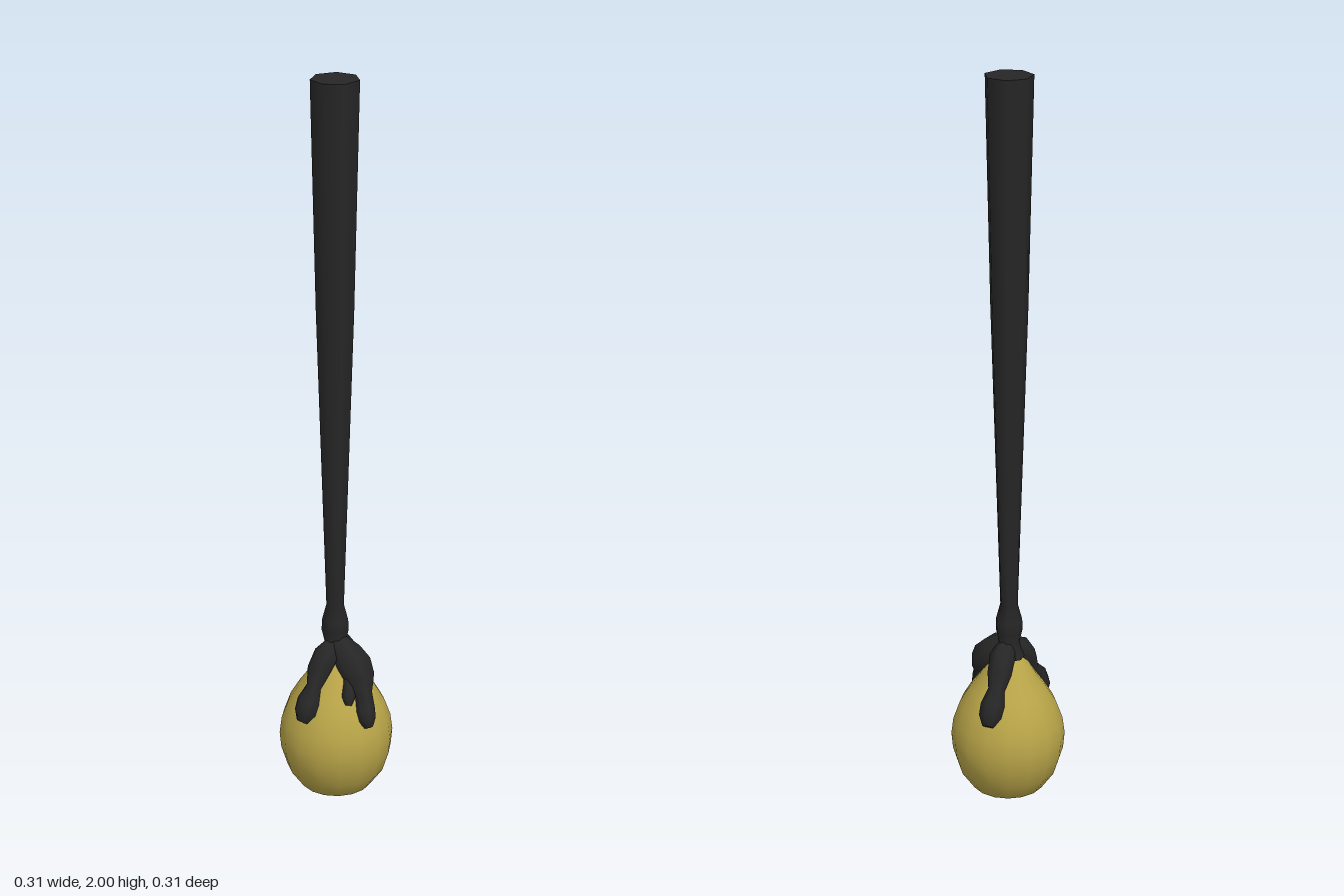
import * as THREE from 'three';

const black = new THREE.MeshStandardMaterial({ color: 0x262626 });
const gold = new THREE.MeshStandardMaterial({ color: 0xb8a448 });

function part(name, geometry, material) {
  const mesh = new THREE.Mesh(geometry, material);
  mesh.name = name;
  return mesh;
}

function lathe(profile, sides) {
  const points = profile.map(([r, y]) => new THREE.Vector2(r, y));
  return new THREE.LatheGeometry(points, sides, Math.PI);
}

// Sweeps a ring along joints [x, y, z, radius]; both ends close to a point.
function limb(joints, sides = 7) {
  const centres = joints.map(([x, y, z]) => new THREE.Vector3(x, y, z));
  const last = joints.length - 1;
  const reach = centres[last].clone().sub(centres[0]).setY(0);
  const side = new THREE.Vector3(reach.z, 0, -reach.x).normalize();
  const positions = [], index = [];
  centres.forEach((c, i) => {
    const t = centres[Math.min(i + 1, last)].clone().sub(centres[Math.max(i - 1, 0)]).normalize();
    const up = t.clone().cross(side).normalize();
    for (let j = 0; j < sides; j++) {
      const a = (j / sides) * Math.PI * 2, r = joints[i][3];
      const p = c.clone().addScaledVector(side, Math.cos(a) * r).addScaledVector(up, Math.sin(a) * r);
      positions.push(p.x, p.y, p.z);
    }
  });
  const start = positions.length / 3, end = start + 1;
  positions.push(...centres[0].toArray(), ...centres[last].toArray());
  for (let j = 0; j < sides; j++) {
    const k = (j + 1) % sides;
    for (let i = 0; i < last; i++) {
      const a = i * sides + j, b = i * sides + k;
      index.push(a, b, a + sides, b, b + sides, a + sides);
    }
    index.push(start, k, j, end, last * sides + j, last * sides + k);
  }
  const g = new THREE.BufferGeometry();
  g.setAttribute('position', new THREE.Float32BufferAttribute(positions, 3));
  g.setIndex(index);
  g.computeVertexNormals();
  return g;
}

export function createModel() {
  const model = new THREE.Group();
  model.name = 'clawAndEggCane';

  // Egg with a slightly drawn-out top
  model.add(part('egg', lathe([
    [0, 0], [0.05, 0.009], [0.098, 0.035], [0.133, 0.085], [0.15, 0.14], [0.154, 0.185],
    [0.148, 0.23], [0.13, 0.28], [0.103, 0.325], [0.078, 0.36], [0.058, 0.395], [0.033, 0.425], [0, 0.435],
  ], 16), gold));

  // Seven-sided tapering shaft with an ankle knob at its lower end
  const shaft = new THREE.Group();
  shaft.name = 'shaft';
  shaft.position.z = -0.003;
  shaft.add(part('shaftBody', lathe([
    [0.045, 0.42], [0.029, 0.46], [0.037, 0.495], [0.036, 0.525], [0.024, 0.57], [0.05, 1.4], [0.063, 2],
  ], 7), black));
  const cap = part('shaftCap', new THREE.CircleGeometry(0.063, 7, Math.PI / 2), black);
  cap.rotation.x = -Math.PI / 2;
  cap.position.y = 2;
  shaft.add(cap);
  model.add(shaft);

  // Toes gripping the egg
  const toes = {
    rightToe: [
      [0, 0.46, 0, 0.02], [-0.034, 0.43, -0.002, 0.036], [-0.063, 0.392, -0.004, 0.034],
      [-0.085, 0.352, -0.003, 0.022], [-0.108, 0.318, -0.001, 0.033],
      [-0.122, 0.29, 0, 0.032], [-0.137, 0.267, 0, 0.016],
    ],
    leftToe: [
      [0, 0.46, 0, 0.02], [0.036, 0.43, -0.016, 0.036], [0.06, 0.392, -0.028, 0.033],
      [0.08, 0.356, -0.037, 0.023], [0.102, 0.322, -0.045, 0.033],
      [0.117, 0.294, -0.05, 0.031], [0.132, 0.272, -0.056, 0.016],
    ],
    frontToe: [
      [0, 0.47, 0, 0.022], [0.005, 0.435, 0.03, 0.043], [0.007, 0.402, 0.055, 0.052],
      [0.003, 0.37, 0.082, 0.044], [-0.008, 0.335, 0.105, 0.025],
      [-0.02, 0.302, 0.122, 0.027], [-0.025, 0.278, 0.132, 0.025], [-0.028, 0.257, 0.141, 0.012],
    ],
    smallToe: [
      [-0.012, 0.395, 0.06, 0.016], [-0.03, 0.36, 0.073, 0.017],
      [-0.045, 0.335, 0.083, 0.019], [-0.053, 0.315, 0.09, 0.009],
    ],
  };
  const claw = new THREE.Group();
  claw.name = 'claw';
  for (const [name, joints] of Object.entries(toes)) claw.add(part(name, limb(joints), black));
  model.add(claw);
  return model;
}
